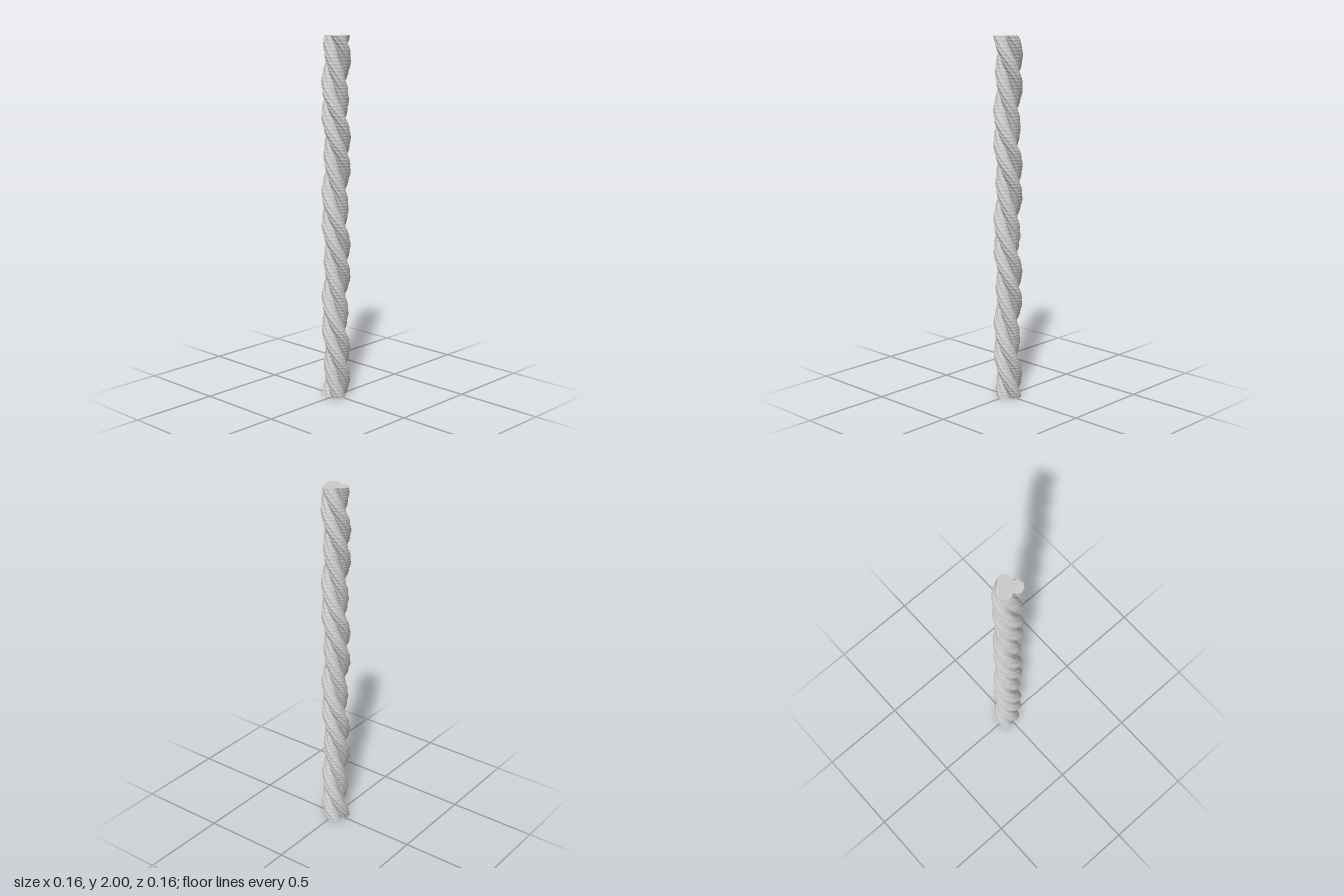
import * as THREE from 'three';

const LENGTH = 2;
const TURNS = 3.39;          // twists over the full length
const STRAND_RADIUS = 0.039;
const STRAND_OFFSET = 0.0365; // strand centre to bundle centre
const SIDES = 8;
const STEPS = 110;
const rad = THREE.MathUtils.degToRad;

// Turns every vertex about the y axis in proportion to its height.
function twist(geometry) {
  const p = geometry.attributes.position;
  for (let i = 0; i < p.count; i++) {
    const x = p.getX(i), y = p.getY(i), z = p.getZ(i);
    const a = (y / LENGTH - 1) * TURNS * Math.PI * 2;
    const c = Math.cos(a), s = Math.sin(a);
    p.setXYZ(i, x * c - z * s, y, x * s + z * c);
  }
  geometry.computeVertexNormals();
  return geometry;
}

// Straight octagonal bar at the given angle, twisted into a helix.
function strandGeometry(angle) {
  // the bundle sits slightly off the twist axis
  const cx = 0.0025 + STRAND_OFFSET * Math.cos(angle);
  const cz = 0.0065 + STRAND_OFFSET * Math.sin(angle);
  const points = [];
  for (let i = 0; i < SIDES; i++) {
    const a = angle + rad(8) + (i / SIDES) * Math.PI * 2;
    points.push(new THREE.Vector2(
      cx + STRAND_RADIUS * Math.cos(a),
      -(cz + STRAND_RADIUS * Math.sin(a))
    ));
  }
  const bar = new THREE.ExtrudeGeometry(new THREE.Shape(points), {
    depth: LENGTH, steps: STEPS, bevelEnabled: false,
  });
  bar.rotateX(-Math.PI / 2);
  return twist(bar);
}

export function createModel() {
  const rope = new THREE.Group();
  rope.name = 'rope';
  const material = new THREE.MeshStandardMaterial({ color: 0xcccccc, flatShading: true });
  // three interlocking strands
  for (let i = 0; i < 3; i++) {
    const strand = new THREE.Mesh(strandGeometry(rad(10 + i * 120)), material);
    strand.name = `strand${i + 1}`;
    rope.add(strand);
  }
  return rope;
}
